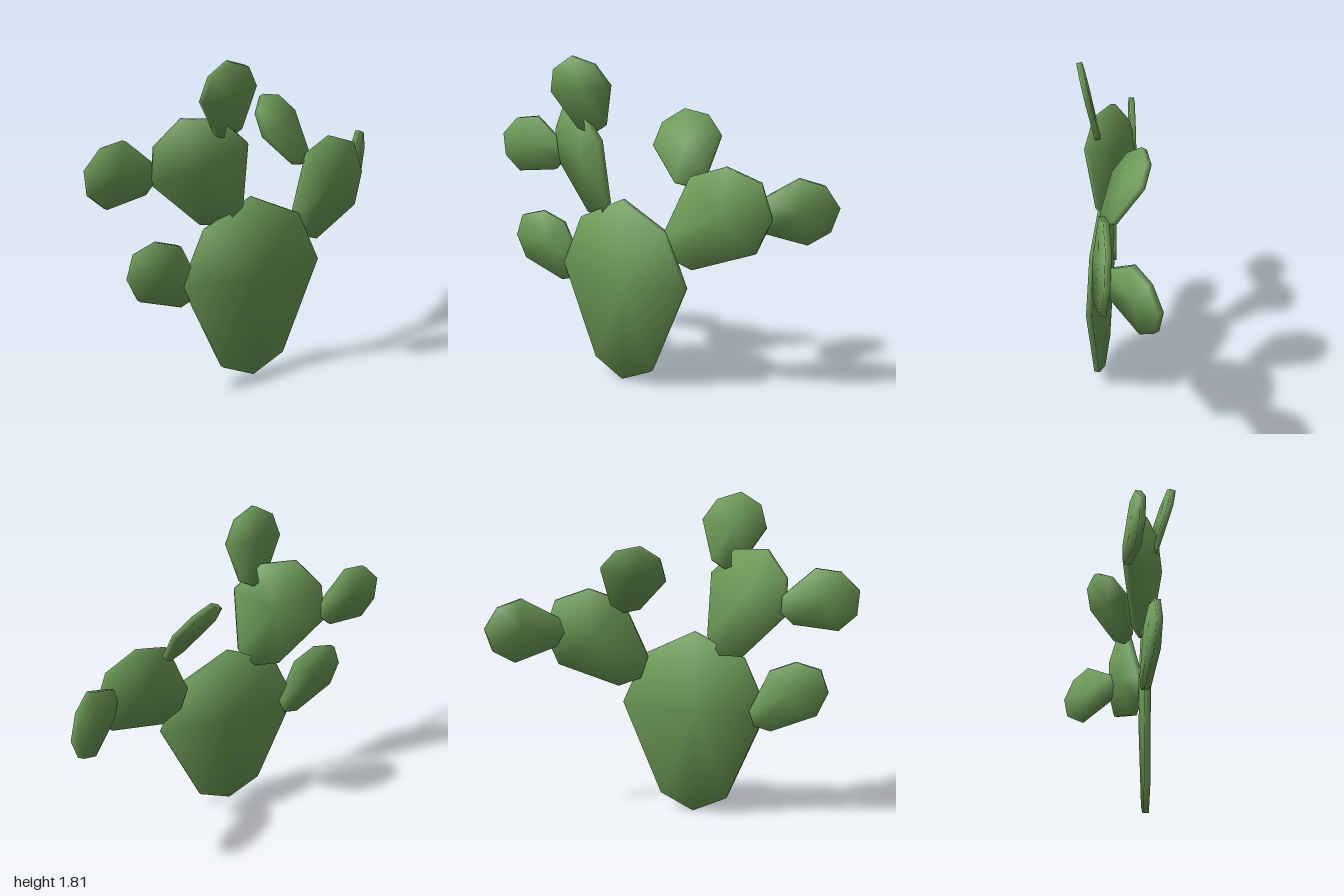
import * as THREE from 'three';

const HALF_THICKNESS = 0.016;

// Right half of the pad outline: [share of half width, share of length]
const SIDE = [[0.46, 0.087], [1, 0.588], [0.685, 0.868]];
const OUTLINE = [
  [0, 0], ...SIDE, [0, 1],
  ...SIDE.map(([u, v]) => [-u, v]).reverse(),
];

// Each pad: root point, tip point and half-width vector
const PADS = [
  ['trunkPad', [-0.075, 0.005, 0.147], [-0.075, 1.045, 0.147], [0.425, 0, 0]],
  ['leftBranchPad', [0.24, 0.765, 0.133], [0.70, 1.21, -0.02], [0.185, -0.185, -0.032]],
  ['leftBranchUpperPad', [0.315, 1.155, 0.06], [0.145, 1.525, -0.12], [0.155, 0.033, -0.095]],
  ['leftBranchOuterPad', [0.66, 1.025, 0.0], [0.995, 1.07, -0.31], [0.0125, -0.1775, -0.025]],
  ['rightBranchPad', [-0.235, 0.92, 0.13], [-0.49, 1.515, 0.14], [0.23, 0.10, 0.10]],
  ['rightBranchUpperPad', [-0.24, 1.397, 0.185], [-0.30, 1.815, 0.295], [0.175, 0.022, -0.035]],
  ['rightBranchOuterPad', [-0.594, 1.19, 0.035], [-1.0, 1.31, 0.11], [0.0625, 0.165, -0.01]],
  ['rightLowerPad', [-0.432, 0.535, 0.13], [-0.79, 0.86, 0.185], [0.13, 0.12, -0.02]],
];

// Thin eight-sided slab with soft normals rolling over the rim
function padGeometry(root, tip, halfWidth) {
  const axis = tip.clone().sub(root);
  const face = halfWidth.clone().cross(axis).normalize();
  const at = (u, v) => root.clone().addScaledVector(axis, v).addScaledVector(halfWidth, u);
  const rim = OUTLINE.map(([u, v]) => at(u, v));
  const n = rim.length;
  const positions = [], normals = [], index = [];

  for (const side of [1, -1]) {
    const facing = face.clone().multiplyScalar(side);
    const push = (p, normal) => {
      positions.push(...p.clone().addScaledVector(facing, HALF_THICKNESS).toArray());
      normals.push(...normal.toArray());
    };
    rim.forEach((p, i) => {
      const along = rim[(i + 1) % n].clone().sub(rim[(i + n - 1) % n]);
      const outward = along.cross(face).normalize();
      push(p, outward.multiplyScalar(0.72).addScaledVector(facing, 0.69).normalize());
    });
    push(at(0, 0.55), facing);
  }

  const back = n + 1;
  for (let i = 0; i < n; i++) {
    const j = (i + 1) % n;
    index.push(n, i, j);                                    // front face
    index.push(back + n, back + j, back + i);               // back face
    index.push(i, back + i, back + j, i, back + j, j);      // rim
  }

  const geometry = new THREE.BufferGeometry();
  geometry.setAttribute('position', new THREE.Float32BufferAttribute(positions, 3));
  geometry.setAttribute('normal', new THREE.Float32BufferAttribute(normals, 3));
  geometry.setIndex(index);
  return geometry;
}

export function createModel() {
  const model = new THREE.Group();
  model.name = 'pricklyPearCactus';
  const green = new THREE.MeshStandardMaterial({ color: 0x6d9b57 });
  green.name = 'cactusGreen';

  for (const [name, ...vectors] of PADS) {
    const mesh = new THREE.Mesh(padGeometry(...vectors.map((v) => new THREE.Vector3(...v))), green);
    mesh.name = name;
    model.add(mesh);
  }
  return model;
}
